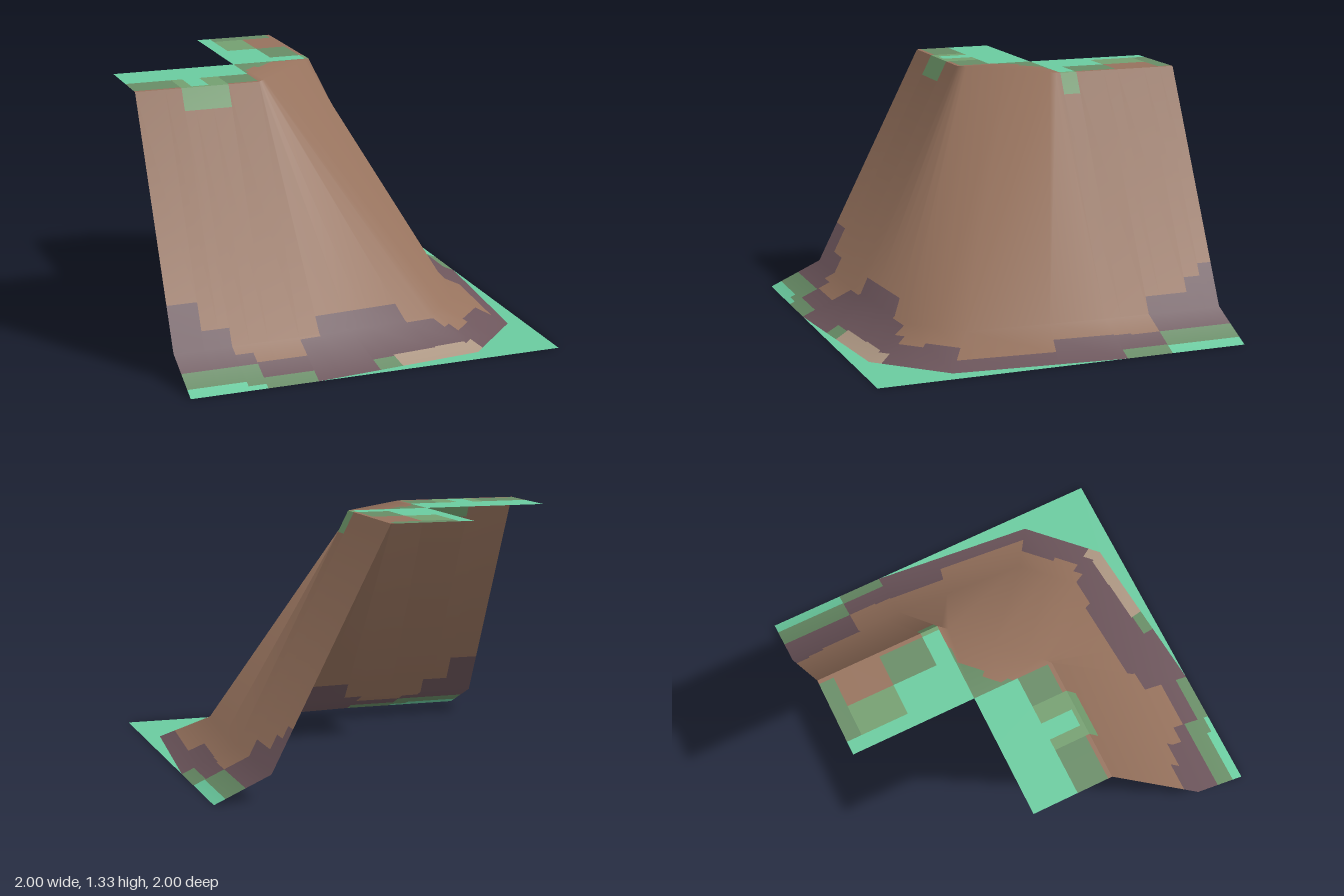
import * as THREE from 'three';

const mat = (name, color) => {
  const m = new THREE.MeshStandardMaterial({ color, side: THREE.DoubleSide });
  m.name = name;
  return m;
};

// Profiles around the corner: inner top, outer top, foot of the slope, ground edge
const H = 1.333, M = 0.13, I = -0.333;
const half = [
  [[-1, H, I], [-1, H, 0.1], [-1, M, 0.71], [-1, 0, 1]],
  [[I, H, I], [I, H, 0.1], [I, M, 0.71], [I, 0, 1]],
  [[I, H, I], [-0.29, H, 0.06], [0.42, M, 0.66], [0.58, 0, 0.91]],
];
const mirrored = half.map((p) => p.map(([x, y, z]) => [z, y, x])).reverse();
const stations = [...half, ...mirrored].map((p) => p.map((v) => new THREE.Vector3(...v)));

// Colour patches: [end along the cliff, then colour and end down the profile, ...]
// along: 0-1 left strip, 1-4 corner, 4-5 back strip; down: 0-1 top, 1-2 slope, 2-3 skirt
const patches = [
  [0.24, 'grass', 0.56, 'moss', 0.95, 'rock', 1.82, 'dark', 2.45, 'moss', 2.8, 'grass', 3],
  [0.37, 'grass', 0.56, 'moss', 0.95, 'rock', 1.93, 'dark', 2.45, 'moss', 2.8, 'grass', 3],
  [0.46, 'grass', 0.56, 'fern', 1.09, 'rock', 1.93, 'dark', 2.45, 'moss', 2.8, 'grass', 3],
  [0.6, 'grass', 0.95, 'fern', 1.09, 'rock', 2.2, 'dark', 2.45, 'moss', 2.9, 'grass', 3],
  [0.75, 'grass', 0.56, 'fern', 1.09, 'rock', 2.42, 'dark', 2.76, 'moss', 3],
  [1, 'grass', 0.56, 'moss', 0.95, 'rock', 2.42, 'dark', 2.76, 'moss', 3],
  [1.15, 'moss', 0.5, 'rock', 2.05, 'dark', 3],
  [1.38, 'moss', 0.5, 'rock', 1.93, 'dark', 3],
  [1.52, 'moss', 0.5, 'rock', 1.93, 'dark', 2.75, 'moss', 3],
  [1.8, 'moss', 0.5, 'rock', 1.93, 'dark', 2.72, 'sand', 3],
  [2, 'moss', 0.5, 'rock', 2.05, 'dark', 2.7, 'sand', 3],
  [2.15, 'moss', 0.4, 'rock', 2.3, 'dark', 2.75, 'sand', 3],
  [2.5, 'moss', 0.4, 'rock', 2.5, 'dark', 3],
  [3, 'moss', 0.5, 'rock', 2.4, 'dark', 3],
  [3.6, 'moss', 0.5, 'rock', 2.7, 'dark', 3],
  [4, 'moss', 0.7, 'rock', 2.4, 'dark', 3],
  [4.14, 'grass', 0.95, 'fern', 1.09, 'rock', 2.42, 'dark', 2.78, 'moss', 3],
  [4.38, 'grass', 0.56, 'moss', 0.95, 'rock', 2.45, 'dark', 2.78, 'moss', 3],
  [4.5, 'grass', 0.56, 'moss', 0.95, 'rock', 1.93, 'dark', 2.45, 'moss', 2.8, 'grass', 3],
  [4.74, 'grass', 0.17, 'fern', 0.56, 'rock', 1.93, 'dark', 2.45, 'moss', 2.8, 'grass', 3],
  [4.88, 'grass', 0.17, 'fern', 0.56, 'rock', 1.87, 'dark', 2.45, 'moss', 2.8, 'grass', 3],
  [5, 'grass', 0.17, 'moss', 0.95, 'rock', 1.82, 'dark', 2.45, 'moss', 2.8, 'grass', 3],
];

const mix = (get, s, t, i, k) => {
  const a = get(i, k).clone().lerp(get(i, k + 1), t - k);
  const b = get(i + 1, k).clone().lerp(get(i + 1, k + 1), t - k);
  return a.lerp(b, s - i);
};
const point = (i, j) => stations[i][j];

// Face direction of one span of the cliff
function spanNormal(i, k) {
  const p = (s, t) => mix(point, s, t, i, k);
  const along = p(i + 1, k + 0.5).sub(p(i, k + 0.5));
  const down = p(i + 0.5, k + 1).sub(p(i + 0.5, k));
  return down.cross(along).normalize();
}

// Smooth around the corner and into the skirt, crisp along the straight top edges
function nodeNormal(i, j, k) {
  const rows = j === 2 ? [1, 2] : j === 1 && (i === 2 || i === 3) ? [0, 1] : [k];
  const n = new THREE.Vector3();
  for (const r of rows)
    for (const c of [i - 1, i]) if (c >= 0 && c < 5) n.add(spanNormal(c, r));
  return n.normalize();
}

export function createModel() {
  const group = new THREE.Group();
  group.name = 'cliffCorner';
  const materials = {
    rock: mat('brownRock', 0x96725d),
    dark: mat('purpleRock', 0x6c555b),
    grass: mat('tealGrass', 0x6acb9f),
    moss: mat('oliveMoss', 0x688c66),
    fern: mat('greenFringe', 0x749f70),
    sand: mat('paleSand', 0xac9682),
  };
  const data = {};
  for (const key in materials) data[key] = { position: [], normal: [] };

  // One flat-sided patch, kept within a single span
  function addPatch(key, s0, s1, t0, t1) {
    const i = Math.min(4, Math.floor(s0 + 1e-6)), k = Math.min(2, Math.floor(t0 + 1e-6));
    const corners = [[s0, t0], [s0, t1], [s1, t1], [s1, t0]];
    for (const c of [0, 1, 2, 0, 2, 3]) {
      const [s, t] = corners[c];
      data[key].position.push(...mix(point, s, t, i, k).toArray());
      data[key].normal.push(...mix((a, b) => nodeNormal(a, b, k), s, t, i, k).normalize().toArray());
    }
  }

  // Cliff face, column by column
  let s0 = 0;
  for (const [s1, ...runs] of patches) {
    let t0 = 0;
    for (let r = 0; r < runs.length; r += 2) {
      const end = runs[r + 1];
      while (t0 < end) {
        const t1 = Math.min(end, Math.floor(t0) + 1);
        addPatch(runs[r], s0, s1, t0, t1);
        t0 = t1;
      }
    }
    s0 = s1;
  }
  for (const key in data) {
    const geo = new THREE.BufferGeometry();
    for (const attr of ['position', 'normal'])
      geo.setAttribute(attr, new THREE.Float32BufferAttribute(data[key][attr], 3));
    const mesh = new THREE.Mesh(geo, materials[key]);
    mesh.name = materials[key].name + 'Patches';
    group.add(mesh);
  }

  // Flat ground beyond the rounded corner
  const ring = [1, 2, 3, 4].map((i) => stations[i][3]);
  const shape = new THREE.Shape([...ring.map((p) => new THREE.Vector2(p.x, -p.z)), new THREE.Vector2(1, -1)]);
  const ground = new THREE.Mesh(new THREE.ShapeGeometry(shape).rotateX(-Math.PI / 2), materials.grass);
  ground.name = 'cornerGround';
  group.add(ground);
  return group;
}
